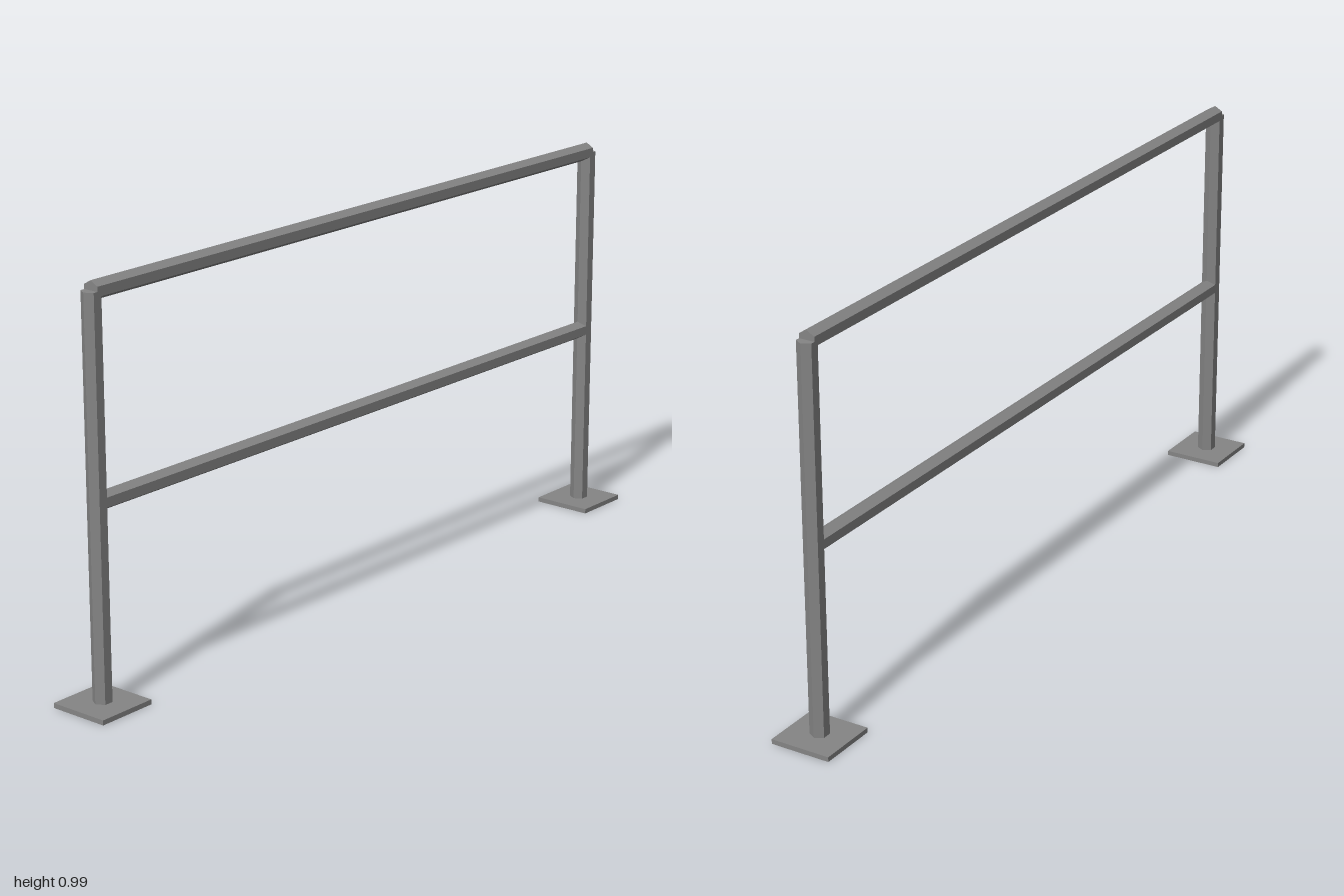
import * as THREE from 'three';

export function createModel() {
  const root = new THREE.Group();
  root.name = 'handrail';
  const steel = new THREE.MeshStandardMaterial({ color: 0x858585, flatShading: true });
  steel.name = 'grey steel';

  const R = 0.0232;      // hexagonal bar radius
  const END = 0.9225;    // post centre
  const PLATE = 0.0775;  // half side of a foot plate
  const THICK = 0.012;
  const TOP = 0.97;

  const add = (name, geometry, x, y, z) => {
    const mesh = new THREE.Mesh(geometry, steel);
    mesh.name = name;
    mesh.position.set(x, y, z);
    root.add(mesh);
    return mesh;
  };
  const hexBar = (length) => new THREE.CylinderGeometry(R, R, length, 6);

  // square foot plate with a hexagonal socket
  const square = new THREE.Shape([[-1, -1], [1, -1], [1, 1], [-1, 1]]
    .map(([x, y]) => new THREE.Vector2(x * PLATE, y * PLATE)));
  square.holes.push(new THREE.Path(Array.from({ length: 6 }, (_, i) => {
    const a = Math.PI / 2 - i * Math.PI / 3;
    return new THREE.Vector2(R * Math.cos(a), R * Math.sin(a));
  })));
  const plate = new THREE.ExtrudeGeometry(square, { depth: THICK, bevelEnabled: false });
  plate.rotateX(-Math.PI / 2);

  // posts and their plates
  for (const [side, s] of [['front', 1], ['back', -1]]) {
    add(side + 'FootPlate', plate, 0, 0, s * END);
    add(side + 'Post', hexBar(TOP - THICK), 0, (TOP + THICK) / 2, s * END);
  }

  // horizontal rails, one corner of the hexagon up
  for (const [name, y] of [['topRail', TOP], ['middleRail', 0.487]]) {
    add(name, hexBar(2 * END), 0, y, 0).rotation.x = Math.PI / 2;
  }
  return root;
}
